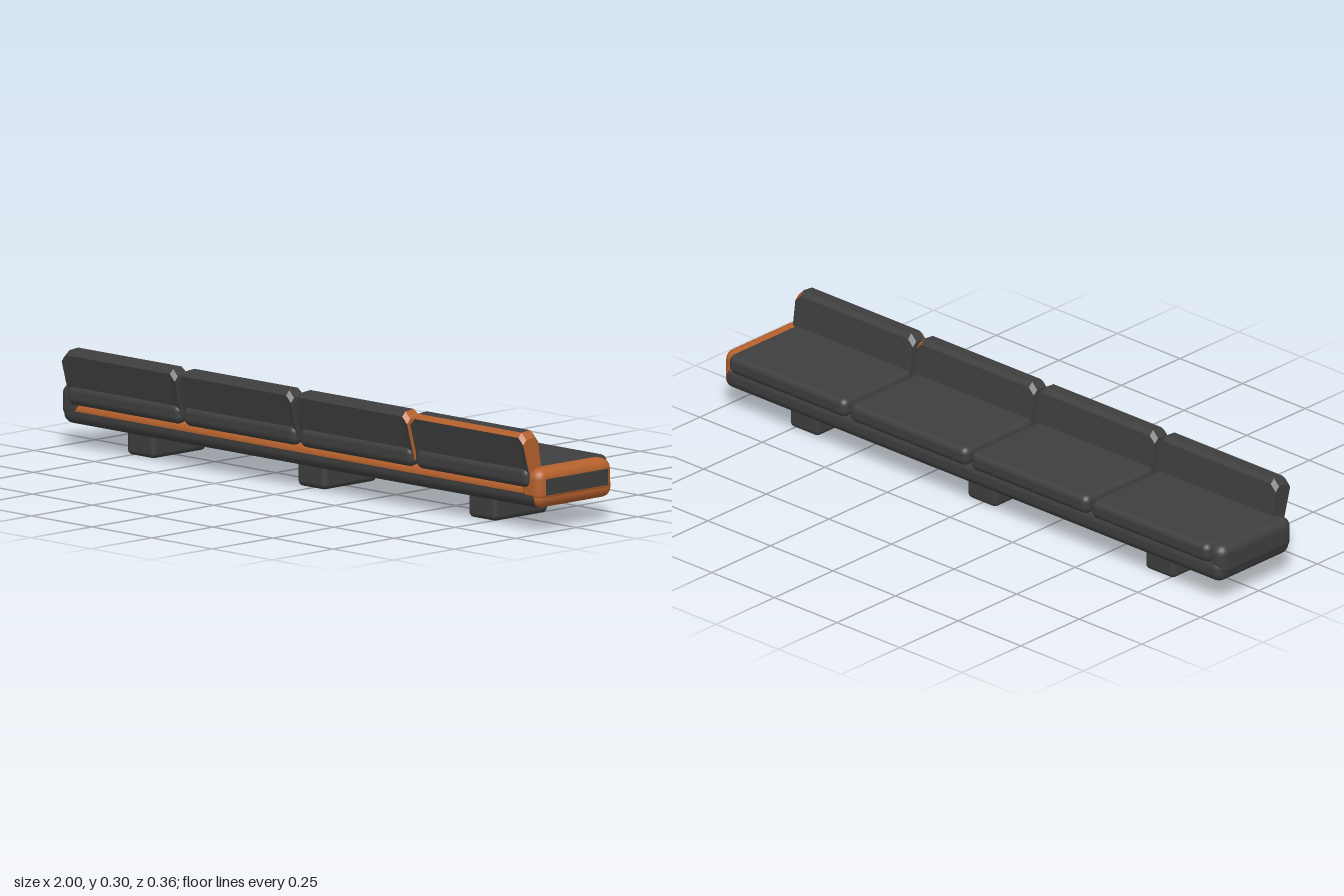
import * as THREE from 'three';
import { RoundedBoxGeometry } from 'three/addons/geometries/RoundedBoxGeometry.js';

const dark = new THREE.MeshStandardMaterial({ color: 0x3e3e3e });
dark.name = 'charcoal';
const orange = new THREE.MeshStandardMaterial({ color: 0xb5612c });
orange.name = 'burnt orange';

// Rounded box given by its limits on each axis
function softBox([x0, x1], [y0, y1], [z0, z1], radius) {
  const g = new RoundedBoxGeometry(x1 - x0, y1 - y0, z1 - z0, 3, radius);
  g.translate((x0 + x1) / 2, (y0 + y1) / 2, (z0 + z1) / 2);
  return g;
}

// Groups the triangles so that those facing a chosen way are orange
function paintFaces(g, isOrange) {
  const n = g.attributes.normal;
  const mean = (get, i) => (n[get](i) + n[get](i + 1) + n[get](i + 2)) / 3;
  g.clearGroups();
  let start = 0, current = -1;
  for (let i = 0; i <= n.count; i += 3) {
    const m = i < n.count ? Number(isOrange(mean('getX', i), mean('getY', i), mean('getZ', i))) : -1;
    if (m !== current) {
      if (i > start) g.addGroup(start, i - start, current);
      start = i;
      current = m;
    }
  }
  return g;
}

// Leaning back pad: side profile drawn out along x, with the top bevelled at both ends
function backPad(x0, x1) {
  const profile = [[0.1, 0.15], [0.147, 0.15], [0.178, 0.281], [0.165, 0.295], [0.13, 0.298], [0.116, 0.284]];
  const shape = new THREE.Shape(profile.map(([z, y]) => new THREE.Vector2(-z, y)));
  const g = new THREE.ExtrudeGeometry(shape, { depth: 3, steps: 3, bevelEnabled: false });
  g.rotateY(Math.PI / 2);
  const p = g.attributes.position;
  const stations = [x0, x0 + 0.02, x1 - 0.02, x1];
  for (let i = 0; i < p.count; i++) {
    const step = Math.round(p.getX(i));
    if (step % 3 === 0 && p.getY(i) > 0.2) p.setY(i, p.getY(i) - 0.02);
    p.setX(i, stations[step]);
  }
  g.computeVertexNormals();
  return g;
}

export function createModel() {
  const group = new THREE.Group();
  const add = (name, geometry, material) => {
    const mesh = new THREE.Mesh(geometry, material);
    mesh.name = name;
    group.add(mesh);
  };

  // Long base with an orange end and an orange upper front edge
  const base = softBox([-0.995, 0.995], [0.07, 0.142], [-0.162, 0.149], 0.03);
  add('base', paintFaces(base, (nx, ny, nz) => nx > 0.3 || (nz > 0.2 && ny > 0.1)), [dark, orange]);

  // Low end rolls, one dark and one orange with a dark panel
  add('endRollDark', softBox([-1, -0.91], [0.085, 0.187], [-0.157, 0.15], 0.03), dark);
  add('endRollOrange', softBox([0.91, 0.998], [0.085, 0.187], [-0.157, 0.15], 0.03), orange);
  const panel = new THREE.BoxGeometry(0.004, 0.048, 0.252);
  panel.translate(0.998, 0.134, -0.004);
  add('endPanel', panel, dark);

  // Four seat cushions and back pads, the last pad with an orange end and top edge
  for (let i = 0; i < 4; i++) {
    const x0 = -0.959 + i * 0.483;
    const x1 = x0 + 0.47;
    add('seatCushion', softBox([x0, x1], [0.13, 0.19], [-0.177, 0.163], 0.022), dark);
    const isOrange = (nx, ny, nz) => (i >= 2 && nx > 0.4) || (i === 3 && ny > 0.3 && nz > 0.3);
    add('backPad', paintFaces(backPad(x0, x1), isOrange), [dark, orange]);
  }

  // Three block feet
  for (const x of [-0.71, 0, 0.71]) {
    add('foot', softBox([x - 0.058, x + 0.058], [0, 0.095], [-0.118, 0.104], 0.016), dark);
  }
  return group;
}
